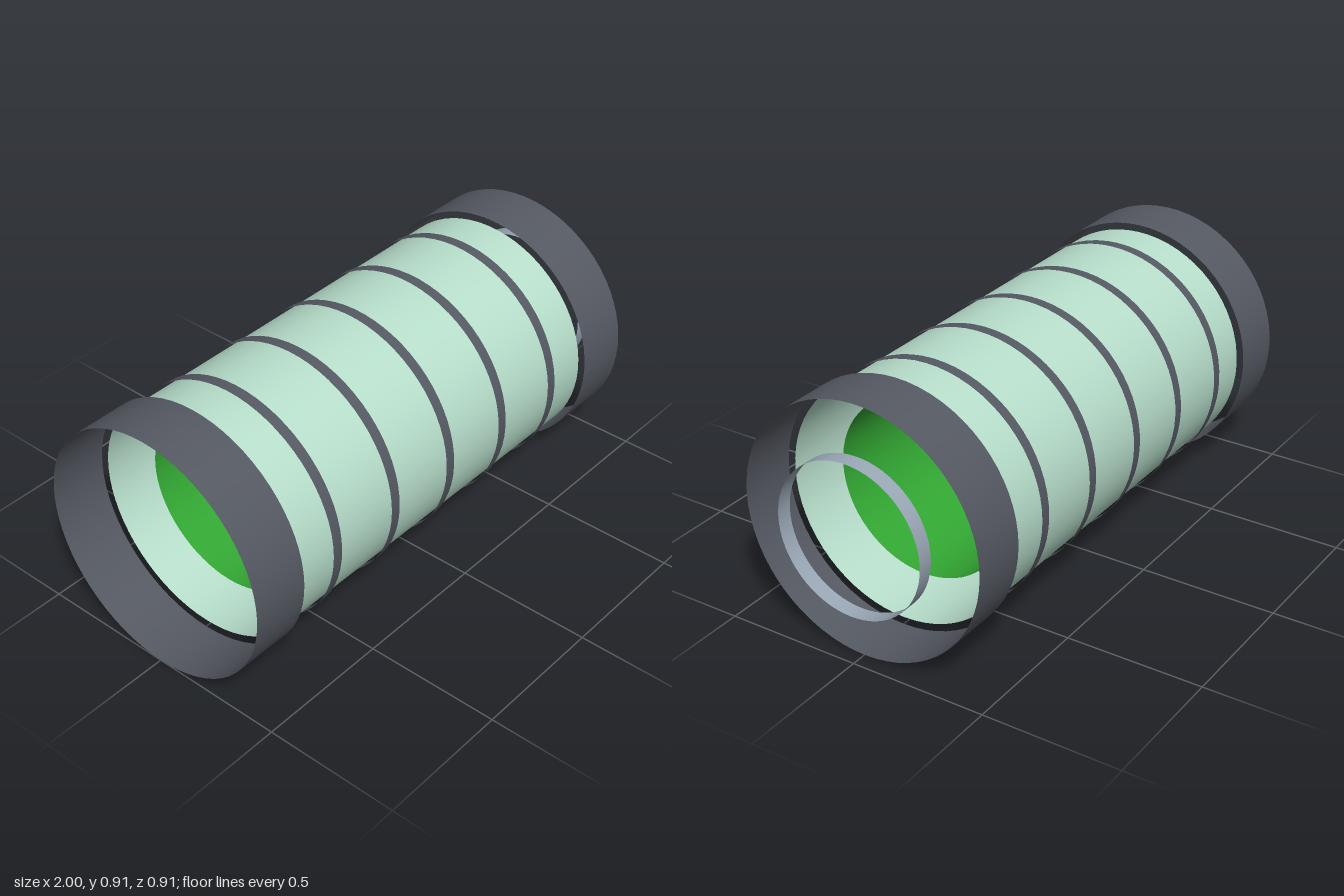
import * as THREE from 'three';

const AXIS_Y = 0.457; // height of the shared tube axis
const MID_X = -0.03;  // middle of the canister body

function material(name, color, side = THREE.DoubleSide) {
  const m = new THREE.MeshStandardMaterial({ color, side });
  m.name = name;
  return m;
}

export function createModel() {
  const group = new THREE.Group();
  group.name = 'canister';

  const darkMetal = material('dark metal', 0x555962);
  const glass = material('pale green glass', 0xb8dfcc);
  const liquid = material('green liquid', 0x33a833);
  const bubble = material('bubble green', 0xa6d4b1, THREE.FrontSide);
  const steel = material('light steel', 0x9aa8b6);

  // Open, thin-walled tube lying along x
  function tube(name, radius, x0, x1, mat) {
    const geometry = new THREE.CylinderGeometry(radius, radius, x1 - x0, 64, 1, true);
    geometry.rotateZ(-Math.PI / 2);
    const mesh = new THREE.Mesh(geometry, mat);
    mesh.name = name;
    mesh.position.set((x0 + x1) / 2, AXIS_Y, 0);
    group.add(mesh);
  }

  // Body, inner liquid column and end collars
  tube('glassBody', 0.432, -0.78, 0.725, glass);
  tube('liquidColumn', 0.325, MID_X - 0.635, MID_X + 0.635, liquid);
  tube('rightCollar', 0.457, -1, -0.784, darkMetal);
  tube('leftCollar', 0.457, 0.728, 0.942, darkMetal);
  tube('endConnector', 0.277, 0.942, 1, steel);

  // Evenly spaced bands around the glass
  for (let i = -2; i <= 2; i++) {
    const x = MID_X + i * 0.288;
    tube('band' + (i + 3), 0.441, x - 0.02, x + 0.02, darkMetal);
  }

  // Square bubbles inside the liquid: x, y, z, size
  const bubbles = [
    [-0.45, 0.637, 0.12, 0.055],
    [0.05, 0.518, 0.073, 0.113],
    [0.3, 0.565, 0.024, 0.064],
    [-0.2, 0.613, -0.061, 0.1],
    [0.2, 0.409, -0.144, 0.086],
    [-0.3, 0.337, 0.146, 0.078],
    [-0.08, 0.265, 0.025, 0.055],
  ];
  bubbles.forEach(([x, y, z, size], i) => {
    const mesh = new THREE.Mesh(new THREE.BoxGeometry(size, size, size), bubble);
    mesh.name = 'bubble' + (i + 1);
    mesh.position.set(x, y, z);
    group.add(mesh);
  });

  return group;
}
